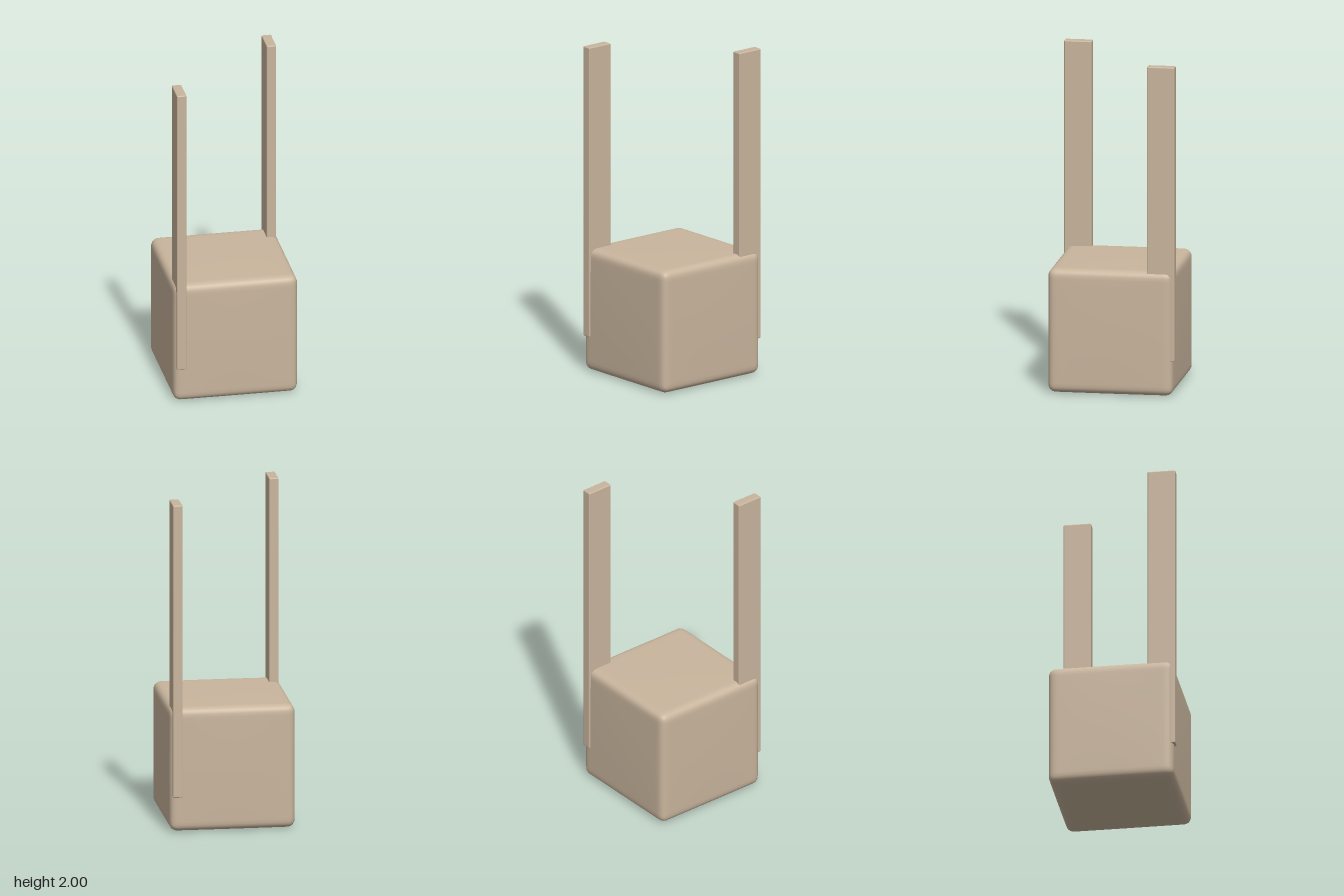
import * as THREE from 'three';
import { RoundedBoxGeometry } from 'three/addons/geometries/RoundedBoxGeometry.js';
import { mergeVertices } from 'three/addons/utils/BufferGeometryUtils.js';

// Soft cube: rounded edges and very slightly pillowed faces
function softCube(size, radius, bulge) {
  const n = 28, half = size / 2, inner = half - radius;
  let geo = new THREE.BoxGeometry(2, 2, 2, n, n, n);
  geo.deleteAttribute('normal');
  geo.deleteAttribute('uv');
  geo = mergeVertices(geo);
  const pos = geo.attributes.position;
  const p = new THREE.Vector3(), core = new THREE.Vector3();
  // crowd the grid towards the edges so the rounding is smooth
  const crowd = t => Math.sin(t * Math.PI / 2);
  for (let i = 0; i < pos.count; i++) {
    p.fromBufferAttribute(pos, i);
    p.set(crowd(p.x), crowd(p.y), crowd(p.z));
    const [x, y, z] = p.toArray();
    p.multiplyScalar(half);
    core.copy(p).clampScalar(-inner, inner);
    p.sub(core).setLength(radius).add(core);
    const dome = (a, b) => 1 + (bulge / half) * (1 - a * a) * (1 - b * b);
    p.x *= dome(y, z);
    p.y *= dome(x, z);
    p.z *= dome(x, y);
    pos.setXYZ(i, p.x, p.y, p.z);
  }
  geo.computeVertexNormals();
  return geo;
}

export function createModel() {
  const model = new THREE.Group();
  model.name = 'blockWithPosts';
  const material = new THREE.MeshStandardMaterial({ color: 0xc9b59d });

  // Everything is turned slightly about the vertical axis
  const body = new THREE.Group();
  body.name = 'turnedBody';
  body.rotation.y = -0.17;
  model.add(body);

  const block = new THREE.Mesh(softCube(0.75, 0.045, 0.005), material);
  block.name = 'block';
  block.position.y = 0.38;
  body.add(block);

  // Two flat posts sunk into opposite corners
  const bottom = 0.215, top = 2;
  const postGeo = new RoundedBoxGeometry(0.058, top - bottom, 0.166, 3, 0.007);
  for (const [name, s] of [['backLeftPost', 1], ['frontRightPost', -1]]) {
    const post = new THREE.Mesh(postGeo, material);
    post.name = name;
    post.position.set(0.331 * s, (bottom + top) / 2, -0.304 * s);
    body.add(post);
  }
  return model;
}
